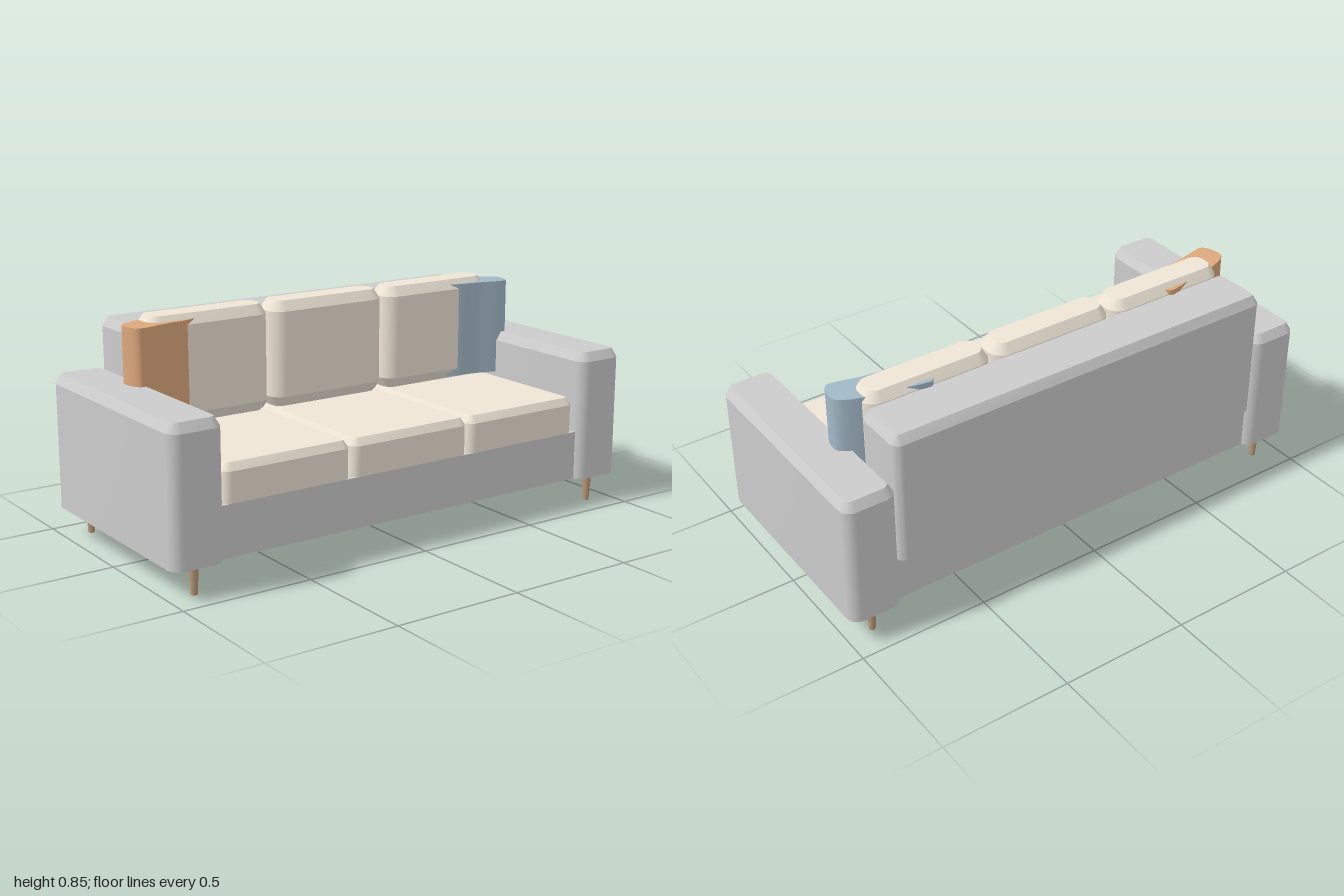
import * as THREE from 'three';
import { toCreasedNormals } from 'three/addons/utils/BufferGeometryUtils.js';

const material = (color) => new THREE.MeshStandardMaterial({ color });

// Upright block with a rounded plan; levels are [y, inset] from bottom to top
function paddedBlock(width, depth, radius, levels, corner = 6) {
  const pos = [], index = [];
  const n = 4 * (corner + 1);
  for (const [y, inset] of levels) {
    const r = Math.max(radius - inset, 0.004);
    const hx = width / 2 - inset - r, hz = depth / 2 - inset - r;
    for (let q = 0; q < 4; q++) {
      const sx = q === 0 || q === 3 ? 1 : -1, sz = q < 2 ? 1 : -1;
      for (let i = 0; i <= corner; i++) {
        const a = (q + i / corner) * Math.PI / 2;
        pos.push(sx * hx + r * Math.cos(a), y, sz * hz + r * Math.sin(a));
      }
    }
  }
  const last = (levels.length - 1) * n;
  for (let k = 0; k < last; k += n) {
    for (let i = 0; i < n; i++) {
      const j = (i + 1) % n;
      index.push(k + i, k + n + i, k + j, k + j, k + n + i, k + n + j);
    }
  }
  // flat caps
  for (let i = 1; i < n - 1; i++) {
    index.push(0, i, i + 1, last, last + i + 1, last + i);
  }
  const g = new THREE.BufferGeometry();
  g.setAttribute('position', new THREE.Float32BufferAttribute(pos, 3));
  g.setIndex(index);
  return toCreasedNormals(g, 0.42);
}

// Side cushion: bow-shaped plan, fuller at the two ends, extruded upwards
function throwPillowGeometry() {
  const half = [[-0.855, -0.155], [-0.857, -0.1], [-0.835, -0.062], [-0.8, -0.063], [-0.71, -0.085], [-0.62, -0.099]];
  const c = [-0.68, -0.154];
  const points = [...half, ...half.map(([x, z]) => [2 * c[0] - x, 2 * c[1] - z])];
  const curve = new THREE.CatmullRomCurve3(
    points.map(([x, z]) => new THREE.Vector3(x, -z, 0)), true);
  const shape = new THREE.Shape(curve.getPoints(48).map((p) => new THREE.Vector2(p.x, p.y)));
  const g = new THREE.ExtrudeGeometry(shape, { depth: 0.375, bevelEnabled: false });
  g.rotateX(-Math.PI / 2);
  g.translate(0, 0.45, 0);
  return toCreasedNormals(g, 0.7);
}

export function createModel() {
  const model = new THREE.Group();
  const grey = material(0xcccccc), cream = material(0xeee5d6), wood = material(0xb89878);
  const orange = material(0xdca87c), blue = material(0xa2b8c6);

  const add = (name, geometry, mat, x = 0, y = 0, z = 0) => {
    const mesh = new THREE.Mesh(geometry, mat);
    mesh.name = name;
    mesh.position.set(x, y, z);
    model.add(mesh);
    return mesh;
  };

  // frame
  add('base', new THREE.BoxGeometry(1.6, 0.19, 0.83), grey, 0, 0.205, 0);
  add('backrest', paddedBlock(1.6, 0.225, 0.035,
    [[0.29, 0], [0.77, 0], [0.804, 0.02]]), grey, 0, 0, -0.3325);

  // arms and legs
  const arm = paddedBlock(0.205, 0.89, 0.045, [[0.11, 0], [0.58, 0], [0.615, 0.021]]);
  const leg = new THREE.CylinderGeometry(0.018, 0.012, 0.11, 16);
  for (const s of [-1, 1]) {
    const side = s > 0 ? 'left' : 'right';
    add(side + 'Arm', arm, grey, s * 0.8975);
    add(side + 'FrontLeg', leg, wood, s * 0.895, 0.055, 0.388);
    add(side + 'BackLeg', leg, wood, s * 0.895, 0.055, -0.385);
  }

  // seat and back cushions
  const seat = paddedBlock(0.52, 0.635, 0.035, [[0.3, 0], [0.412, 0], [0.44, 0.018]]);
  const back = paddedBlock(0.512, 0.143, 0.06,
    [[0.44, 0.024], [0.48, 0], [0.807, 0], [0.845, 0.024]], 7);
  ['right', 'middle', 'left'].forEach((side, i) => {
    add(side + 'SeatCushion', seat, cream, (i - 1) * 0.526, 0, 0.0975);
    add(side + 'BackCushion', back, cream, (i - 1) * 0.522, 0, -0.17);
  });

  // throw pillows, the second one mirrored
  const pillow = throwPillowGeometry();
  add('rightThrowPillow', pillow, orange);
  add('leftThrowPillow', pillow, blue).scale.x = -1;

  return model;
}
